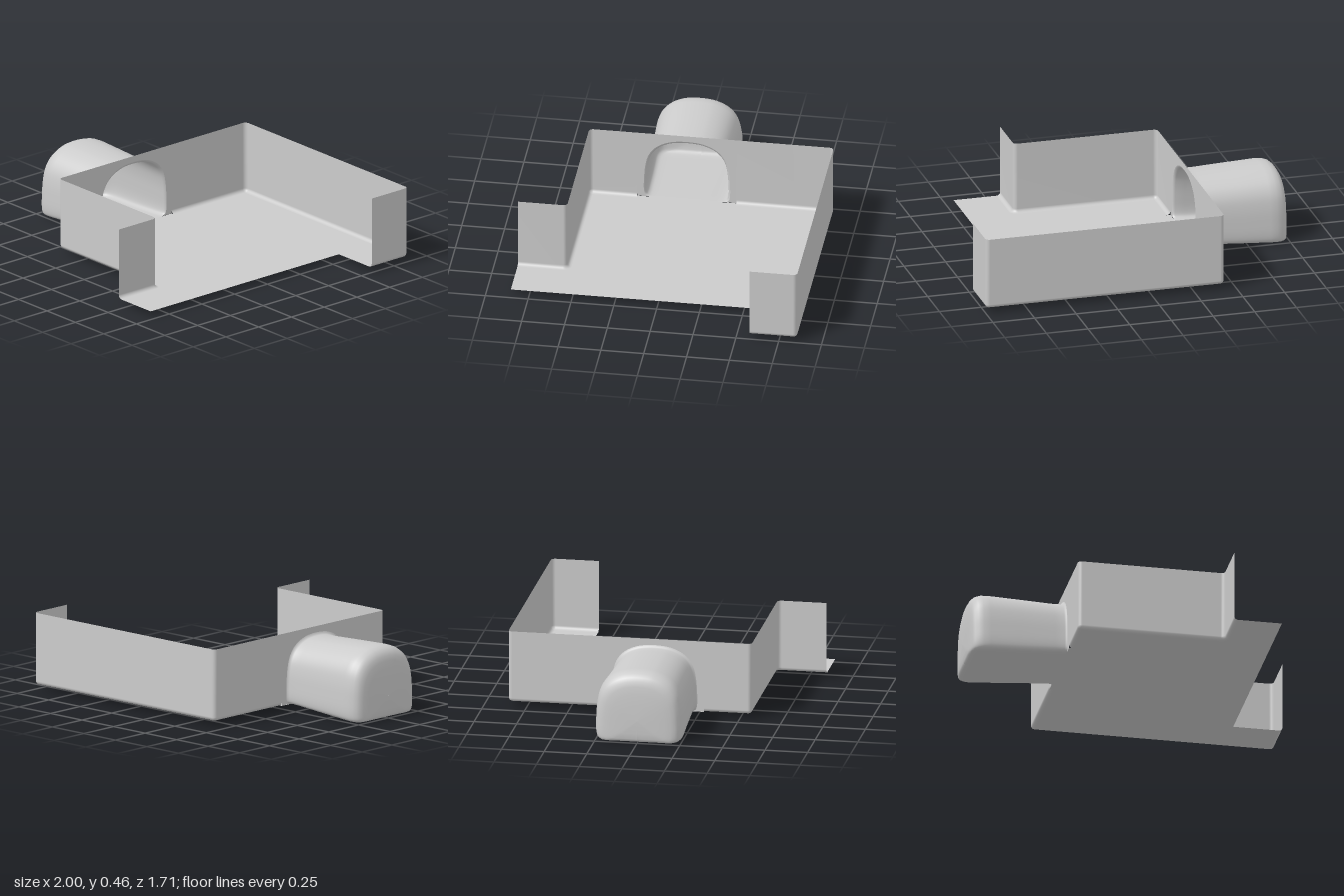
import * as THREE from 'three';

const FLOOR = 0.03, TOP = 0.455, R = 0.022; // floor height, rim height, fillet radius
const material = new THREE.MeshStandardMaterial({ color: 0xcccccc, side: THREE.DoubleSide });

// Smooth sheet through rows of equally many points.
function sheet(rows) {
  const n = rows[0].length, index = [];
  for (let i = 0; i < rows.length - 1; i++)
    for (let j = 0; j < n - 1; j++) {
      const a = i * n + j, b = a + n;
      index.push(a, b, a + 1, b, b + 1, a + 1);
    }
  const geo = new THREE.BufferGeometry();
  geo.setAttribute('position', new THREE.Float32BufferAttribute(rows.flat(2), 3));
  geo.setIndex(index);
  geo.computeVertexNormals();
  return geo;
}

// Wall path on the ground plane with rounded corners: position and inward normal.
function wallPath(corners) {
  const pts = corners.map(([x, z]) => new THREE.Vector2(x, z));
  const path = [];
  const add = (p, t) => path.push({ p, n: new THREE.Vector2(-t.y, t.x) });
  const dir = i => pts[i + 1].clone().sub(pts[i]).normalize();
  const r = R + 0.002, steps = 6;
  add(pts[0], dir(0));
  for (let i = 1; i < pts.length - 1; i++) {
    const d0 = dir(i - 1), d1 = dir(i);
    const c = pts[i].clone().addScaledVector(d0, -r).addScaledVector(d1, r);
    for (let k = 0; k <= steps; k++) {
      const a = (k / steps) * Math.PI / 2, co = Math.cos(a), si = Math.sin(a);
      add(c.clone().addScaledVector(d1, -r * co).addScaledVector(d0, r * si),
        d0.clone().multiplyScalar(co).addScaledVector(d1, si));
    }
  }
  add(pts[pts.length - 1], dir(pts.length - 2));
  return path;
}

// Upright wall curving into the floor, swept along a path.
function wall(path) {
  const profile = [];
  for (let k = 0; k <= 6; k++) {
    const a = (k / 6) * Math.PI / 2;
    profile.push([R * (1 - Math.sin(a)), FLOOR + R * (1 - Math.cos(a))]);
  }
  profile.push([0, TOP]);
  return sheet(path.map(({ p, n }) => profile.map(([o, y]) => [p.x + n.x * o, y, p.y + n.y * o])));
}

// Half of the arched section: width and height fractions.
const ARCH = [[0, 0], [0.5, 0], [0.82, 0], [0.92, 0.012], [0.975, 0.045], [1, 0.13], [0.995, 0.32],
  [0.97, 0.52], [0.91, 0.69], [0.79, 0.82], [0.62, 0.91], [0.38, 0.974], [0.18, 0.995]];
const archCurve = new THREE.CatmullRomCurve3([
  ...ARCH, [0, 1], ...ARCH.slice().reverse().map(([w, h]) => [-w, h]),
].map(([w, h]) => new THREE.Vector3(0, h, w)));
const section = ([x, w, y0, y1]) =>
  archCurve.getPoints(104).map(p => [x, y0 + (y1 - y0) * p.y, w * p.z]);

// Pocket sections from the mouth to the closed end: x, half width, bottom, top.
const POCKET = [
  [-0.43, 0.252, 0.03, 0.418], [-0.434, 0.246, 0.03, 0.408], [-0.445, 0.241, 0.03, 0.402],
  [-0.5, 0.24, 0.027, 0.402], [-0.7, 0.247, 0.014, 0.41], [-0.88, 0.256, 0.004, 0.416],
  [-0.92, 0.254, 0.001, 0.414], [-0.95, 0.246, 0, 0.404], [-0.97, 0.233, 0.001, 0.386],
  [-0.982, 0.217, 0.004, 0.364], [-0.989, 0.195, 0.01, 0.335], [-0.994, 0.16, 0.022, 0.29],
  [-0.998, 0.1, 0.055, 0.225], [-1, 0.001, 0.13, 0.132],
];

export function createModel() {
  const group = new THREE.Group();
  const add = (name, geo) => {
    const mesh = new THREE.Mesh(geo, material);
    mesh.name = name;
    group.add(mesh);
    return mesh;
  };

  // Walls either side of the pocket mouth, each ending in a short return
  const M = 0.29;
  const front = wallPath([[0.43, 0.857], [0.43, 0.57], [-0.43, 0.57], [-0.43, M]]);
  const back = wallPath([[-0.43, -M], [-0.43, -0.857], [1, -0.857], [1, -0.58]]);
  add('frontWall', wall(front));
  add('backWall', wall(back));

  // Floor plate, meeting the inner edge of the wall fillets
  const inset = path => path.map(({ p, n }) => p.clone().addScaledVector(n, R));
  const V = (x, y) => new THREE.Vector2(x, y);
  const floor = new THREE.ShapeGeometry(new THREE.Shape([
    ...inset(front), V(-0.43, M), V(-0.43, -M), ...inset(back), V(0.71, -0.58), V(0.71, 0.857),
  ]));
  floor.rotateX(Math.PI / 2).translate(0, FLOOR, 0);
  add('floor', floor);

  // Wall panel with the arched mouth cut out
  const mouth = section(POCKET[0]).filter(p => p[1] > FLOOR + 0.002).map(p => V(p[2], p[1]));
  const panel = new THREE.ShapeGeometry(new THREE.Shape([
    V(-M, FLOOR), V(-M, TOP), V(M, TOP), V(M, FLOOR), ...mouth,
  ]));
  panel.rotateY(-Math.PI / 2).translate(-0.43, 0, 0);
  add('mouthPanel', panel);

  // Rounded pocket, open to the tray
  add('pocket', sheet(POCKET.map(section)));
  return group;
}
